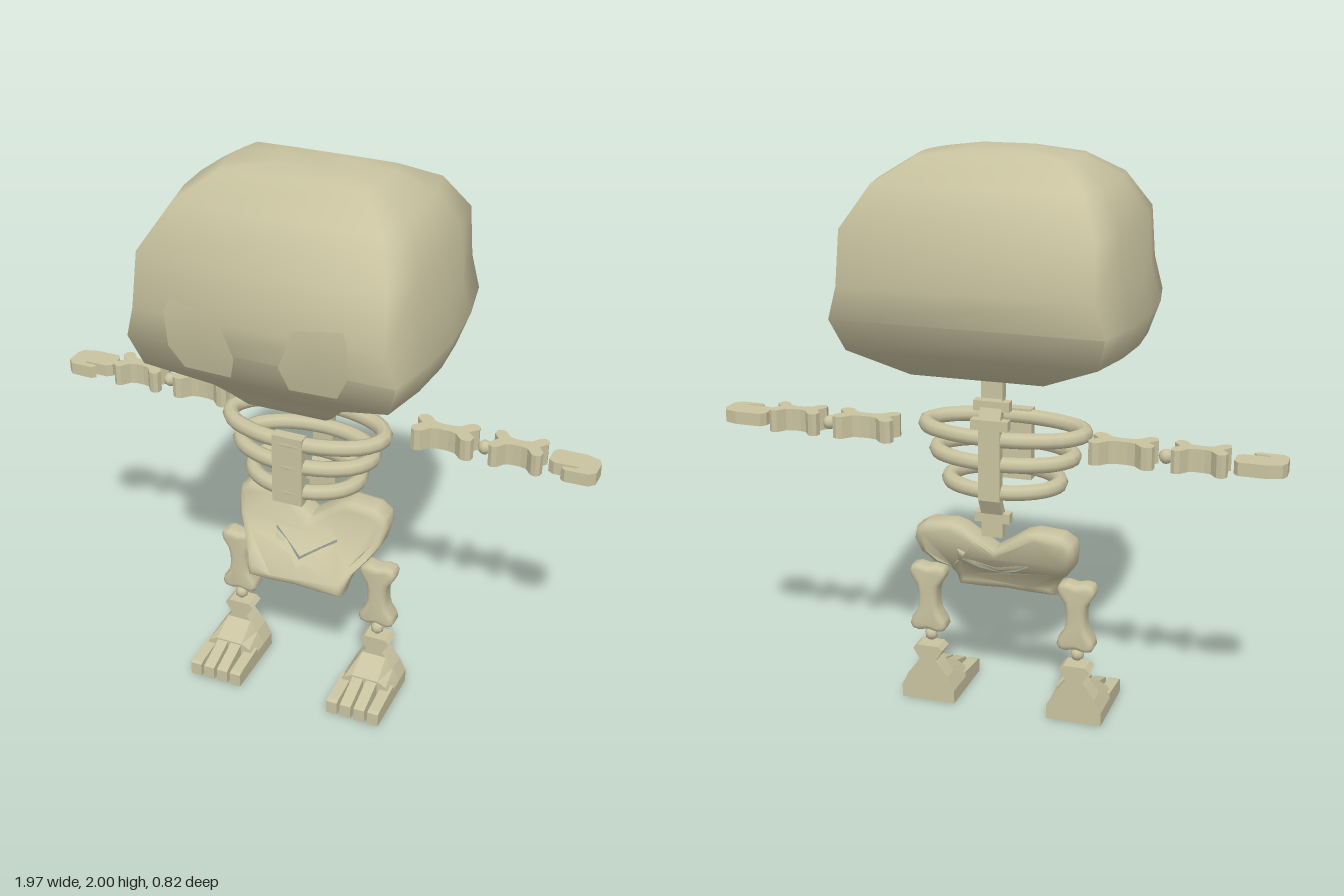
import * as THREE from 'three';
import { toCreasedNormals } from 'three/addons/utils/BufferGeometryUtils.js';

const boneMat = new THREE.MeshStandardMaterial({ color: 0xc9c3a0 });

function add(parent, name, geo, x = 0, y = 0, z = 0) {
  const mesh = new THREE.Mesh(geo, boneMat);
  mesh.name = name;
  mesh.position.set(x, y, z);
  parent.add(mesh);
  return mesh;
}

// Closed skin over rings; each ring is counter-clockwise about the stacking direction
function loft(rings, crease) {
  const n = rings[0].length, idx = [], last = (rings.length - 1) * n;
  for (let i = 0; i < rings.length - 1; i++) for (let j = 0; j < n; j++) {
    const a = i * n + j, b = i * n + (j + 1) % n;
    idx.push(a, b, b + n, a, b + n, a + n);
  }
  for (let j = 1; j < n - 1; j++) idx.push(0, j + 1, j, last, last + j, last + j + 1);
  const geo = new THREE.BufferGeometry();
  geo.setAttribute('position', new THREE.Float32BufferAttribute(rings.flat(2), 3));
  geo.setIndex(idx);
  return toCreasedNormals(geo, crease);
}

// Extruded outline, centred on its depth, with an optional rounded rim
function slab(pts, depth, bevel = 0, hole = null) {
  const v = (list) => list.map(([x, y]) => new THREE.Vector2(x, y));
  const shape = new THREE.Shape(v(pts));
  if (hole) shape.holes.push(new THREE.Path(v(hole)));
  const geo = new THREE.ExtrudeGeometry(shape, {
    depth: depth - 2 * bevel, bevelEnabled: bevel > 0, bevelSize: bevel,
    bevelThickness: bevel, bevelOffset: -bevel, bevelSegments: 3,
  });
  return geo.translate(0, 0, -(depth / 2 - bevel));
}

// Mirror a right-hand half outline (top to bottom, off-axis points only) to the left
const mirrorX = (half) => [...half, ...half.filter((p) => p[0] !== 0).reverse().map(([x, y]) => [-x, y])];

// Two-knobbed bone outline along y
function boneOutline(length, halfWidth, notch, waist) {
  const q = [[0, notch], [0.5, 0.5], [0.85, 0.48], [1, 0.41], [0.92, 0.32], [waist + 0.1, 0.2], [waist, 0.08]];
  const half = [...q, ...q.slice().reverse().map(([x, y]) => [x, -y])];
  return mirrorX(half.map(([x, y]) => [x * halfWidth, y * length]));
}

// Skull levels: y, front z, back z, half width
const LEVELS = [
  [1.19, 0.18, 0.12, 0.155], [1.235, 0.215, 0.06, 0.2], [1.285, 0.26, -0.27, 0.25],
  [1.37, 0.36, -0.345, 0.467], [1.48, 0.396, -0.395, 0.505], [1.59, 0.41, -0.405, 0.468],
  [1.77, 0.38, -0.385, 0.46], [1.9, 0.26, -0.28, 0.385], [1.975, 0.13, -0.14, 0.27], [2, 0.07, -0.08, 0.1],
];

function frontAt(y) {
  const i = Math.max(1, LEVELS.findIndex((l) => l[0] >= y));
  const [a, b] = [LEVELS[i - 1], LEVELS[i]];
  return THREE.MathUtils.mapLinear(y, a[0], b[0], a[1], b[1]);
}

function makeSkull(root) {
  const rings = LEVELS.map(([y, f, b, w]) => {
    const c = (f + b) / 2, h = (f - b) / 2;
    const right = [[0.9, 1], [0.975, 0.5], [1, 0], [0.975, -0.5], [0.9, -1]];
    return [
      ...right.map(([x, z]) => [x * w, y, c + z * h]),
      ...right.slice().reverse().map(([x, z]) => [-x * w, y, c + z * h]),
    ];
  });
  add(root, 'skull', loft(rings, 1.45));

  // Eye panels follow the curve of the face
  const outline = [[0.1, 1.395], [0.26, 1.4], [0.302, 1.48], [0.306, 1.6], [0.29, 1.645], [0.13, 1.62], [0.075, 1.48]];
  for (const s of [1, -1]) {
    const pts = [[0.195, 1.53], ...outline].map(([x, y]) => [s * x, y, frontAt(y) + 0.011]);
    const idx = [];
    for (let i = 0; i < 7; i++) {
      const a = i + 1, b = (i + 1) % 7 + 1;
      idx.push(0, ...(s > 0 ? [a, b] : [b, a]));
    }
    const geo = new THREE.BufferGeometry();
    geo.setAttribute('position', new THREE.Float32BufferAttribute(pts.flat(), 3));
    geo.setIndex(idx);
    geo.computeVertexNormals();
    add(root, s > 0 ? 'leftEye' : 'rightEye', geo);
  }
}

function makeTorso(root) {
  // Rib hoops: y, half width
  for (const [y, w] of [[1.05, 0.31], [0.963, 0.27], [0.864, 0.222]]) {
    const pts = [];
    for (let i = 0; i < 12; i++) {
      const a = i / 12 * Math.PI * 2;
      pts.push(new THREE.Vector3(Math.sin(a) * (w - 0.027), 0, Math.cos(a) * 0.143));
    }
    const curve = new THREE.CatmullRomCurve3(pts, true);
    add(root, 'rib', new THREE.TubeGeometry(curve, 36, 0.028, 8, true), 0, y, -0.006);
  }
  add(root, 'sternum', new THREE.BoxGeometry(0.11, 0.26, 0.04), 0, 0.95, 0.142);

  // Spine: bent strip seen from the side as [z, y], swept across x
  const path = [[-0.127, 1.28], [-0.127, 1.19], [-0.163, 1.1], [-0.163, 0.84], [-0.13, 0.78], [-0.13, 0.7]];
  const strip = [...path.map(([z, y]) => [-z - 0.016, y]), ...path.slice().reverse().map(([z, y]) => [-z + 0.016, y])];
  add(root, 'spine', slab(strip, 0.075).rotateY(Math.PI / 2));
  for (const [y, z, w] of [[1.165, -0.137, 0.125], [1.105, -0.161, 0.13], [0.77, -0.13, 0.125]])
    add(root, 'vertebra', new THREE.BoxGeometry(w, 0.035, 0.036), 0, y, z);
}

function makePelvis(root) {
  const outer = mirrorX([[0, 0.645], [0.06, 0.685], [0.11, 0.72], [0.15, 0.732], [0.24, 0.725], [0.28, 0.7],
    [0.288, 0.66], [0.275, 0.6], [0.24, 0.55], [0.205, 0.515], [0.19, 0.475], [0.18, 0.435], [0.09, 0.435], [0, 0.44]]);
  const hole = mirrorX([[0, 0.565], [0.07, 0.6], [0.135, 0.635], [0.15, 0.575], [0.08, 0.535], [0, 0.495]]);
  const geo = slab(outer, 0.11, 0.028, hole);
  // Lean the ring: top to the back, bottom to the front
  const lean = [[0.43, 0.065], [0.5, 0.055], [0.56, -0.04], [0.64, -0.09], [0.74, -0.1]];
  const p = geo.attributes.position;
  for (let i = 0; i < p.count; i++) {
    const y = p.getY(i);
    const k = Math.max(1, lean.findIndex((l) => l[0] >= y));
    const [a, b] = [lean[k - 1], lean[k]];
    p.setZ(i, p.getZ(i) + THREE.MathUtils.mapLinear(y, a[0], b[0], a[1], b[1]));
  }
  add(root, 'pelvis', toCreasedNormals(geo, 1.0));
}

function makeArm(root, s) {
  const arm = new THREE.Group();
  arm.name = s > 0 ? 'leftArm' : 'rightArm';
  arm.position.set(0, 1.043, -0.115);
  root.add(arm);
  const flat = (pts, h) => slab(pts, h).rotateX(-Math.PI / 2);
  const along = (len) => boneOutline(len, 0.06, 0.38, 0.33).map(([a, b]) => [b, a]);
  add(arm, 'upperArm', flat(along(0.22), 0.078), s * 0.453);
  add(arm, 'elbow', new THREE.SphereGeometry(0.025, 8, 6), s * 0.594, -0.003, 0.003);
  add(arm, 'forearm', flat(along(0.185), 0.078), s * 0.709);
  // Hand with a thumb hooked beside the palm, as [x, z]
  const hand = [[0.835, -0.05], [0.93, -0.05], [0.975, -0.035], [0.987, -0.01], [0.985, 0.05], [0.965, 0.07],
    [0.885, 0.073], [0.87, 0.06], [0.88, 0.05], [0.915, 0.05], [0.925, 0.038], [0.84, 0.04], [0.82, 0.025], [0.82, -0.03]];
  add(arm, 'hand', flat(hand.map(([x, z]) => [s * x, -z]), 0.045), 0, -0.004);
}

function makeLeg(root, s) {
  const leg = new THREE.Group();
  leg.name = s > 0 ? 'leftLeg' : 'rightLeg';
  leg.position.set(s * 0.273, 0, 0);
  root.add(leg);
  const thigh = slab(boneOutline(0.255, 0.068, 0.47, 0.52), 0.074, 0.018);
  add(leg, 'thigh', toCreasedNormals(thigh, 1.0), 0, 0.398, -0.03);
  add(leg, 'knee', new THREE.SphereGeometry(0.025, 8, 6), 0, 0.248, -0.022);

  // Heel and ankle
  const heel = mirrorX([[0.04, 0.215], [0.056, 0.2], [0.03, 0.158], [0.045, 0.14], [0.075, 0.1], [0.1, 0.05], [0.1, 0]]);
  add(leg, 'ankle', slab(heel, 0.07), 0, 0, -0.03);
  // Instep
  const ring = (z, half) => mirrorX(half).reverse().map(([x, y]) => [x, y, z]);
  add(leg, 'instep', loft([
    ring(0, [[0.045, 0.142], [0.075, 0.1], [0.1, 0.05], [0.1, 0]]),
    ring(0.095, [[0.05, 0.095], [0.082, 0.078], [0.1, 0.047], [0.1, 0]]),
  ], 0.3));
  // Four wedge toes, outer ones lower
  for (const i of [-1.5, -0.5, 0.5, 1.5]) {
    const back = Math.abs(i) > 1 ? 0.068 : 0.1;
    const side = [[-0.06, 0], [-0.06, back], [-0.2, 0.055], [-0.215, 0.05], [-0.215, 0]];
    add(leg, 'toe', slab(side, 0.041).rotateY(Math.PI / 2), i * 0.053);
  }
}

export function createModel() {
  const model = new THREE.Group();
  model.name = 'skeleton';
  makeSkull(model);
  const body = new THREE.Group();
  body.name = 'body';
  body.position.x = -0.01;
  model.add(body);
  makeTorso(body);
  makePelvis(body);
  for (const s of [1, -1]) {
    makeArm(model, s);
    makeLeg(body, s);
  }
  return model;
}
